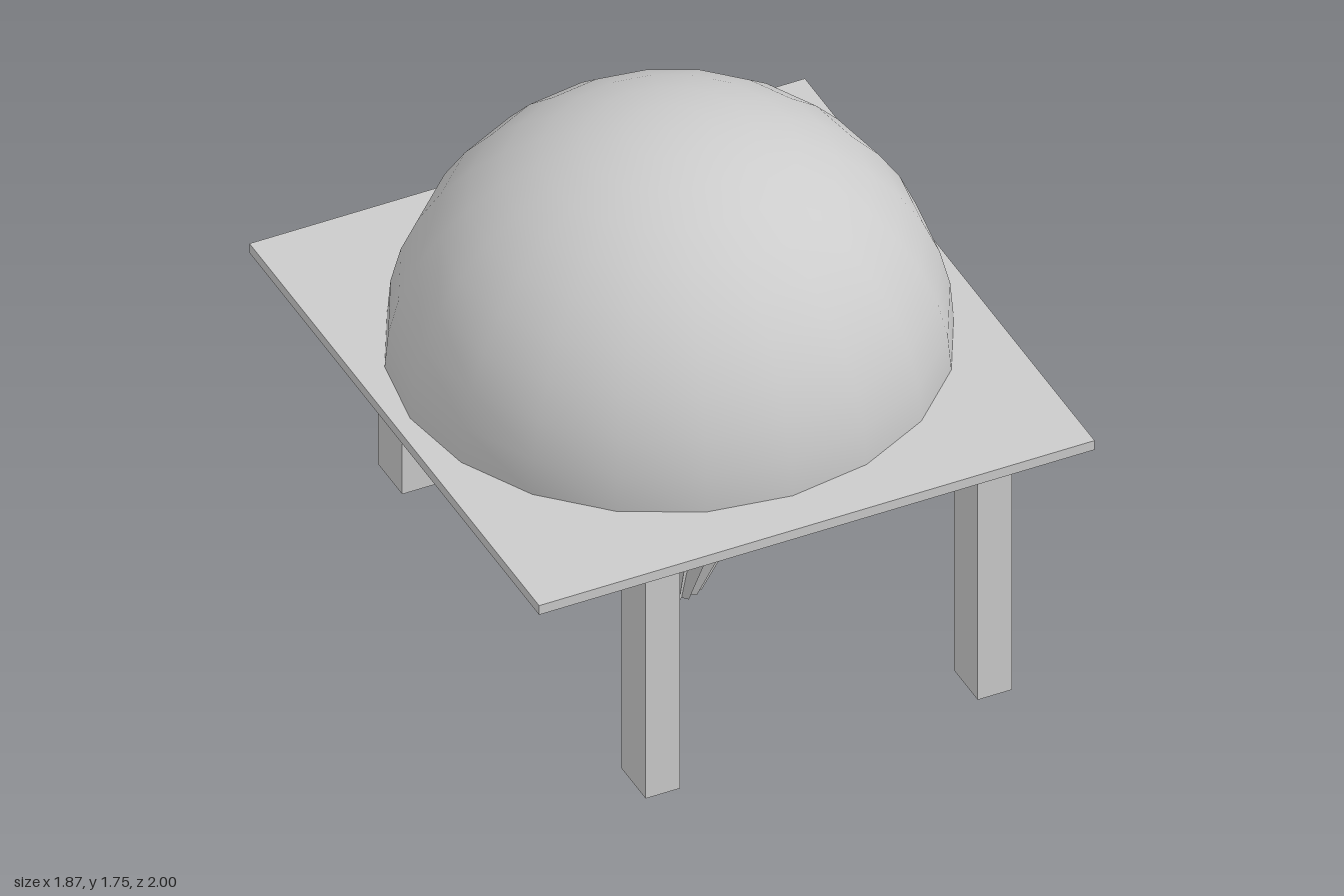
import * as THREE from 'three';

const grey = (opts = {}) => new THREE.MeshStandardMaterial({ color: 0xcccccc, ...opts });

function add(parent, name, geometry, material, x, y, z) {
  const mesh = new THREE.Mesh(geometry, material);
  mesh.name = name;
  mesh.position.set(x, y, z);
  parent.add(mesh);
  return mesh;
}

// Pleated, slightly twisted cone made from star-shaped rings
function pleatedCone(rings, pleats, valley) {
  const n = pleats * 2;
  const pos = [], index = [];
  for (const [y, r, twist] of rings) {
    for (let i = 0; i < n; i++) {
      const a = (i / n) * Math.PI * 2 + twist;
      const k = i % 2 ? r * valley : r;
      pos.push(k * Math.cos(a), y, k * Math.sin(a));
    }
  }
  for (let j = 0; j < rings.length - 1; j++) {
    for (let i = 0; i < n; i++) {
      const a = j * n + i, b = j * n + (i + 1) % n;
      index.push(a, a + n, b, b, a + n, b + n);
    }
  }
  // End caps
  const bottom = pos.length / 3, top = bottom + 1, last = (rings.length - 1) * n;
  pos.push(0, rings[0][0], 0, 0, rings[rings.length - 1][0], 0);
  for (let i = 0; i < n; i++) {
    const k = (i + 1) % n;
    index.push(bottom, i, k, top, last + k, last + i);
  }
  const g = new THREE.BufferGeometry();
  g.setAttribute('position', new THREE.Float32BufferAttribute(pos, 3));
  g.setIndex(index);
  g.computeVertexNormals();
  return g;
}

export function createModel() {
  const model = new THREE.Group();
  model.name = 'domedTable';

  // Table top
  add(model, 'plate', new THREE.BoxGeometry(1.87, 0.035, 2), grey(), 0, 0.918, 0);

  // Dome: half sphere, slightly stretched
  const dome = new THREE.SphereGeometry(1, 20, 10, 0, Math.PI * 2, 0, Math.PI / 2);
  dome.scale(0.872, 0.81, 0.853);
  add(model, 'dome', dome, grey({ side: THREE.DoubleSide }), -0.006, 0.935, -0.007);

  // Four square legs
  for (const x of [-0.485, 0.633]) {
    for (const z of [0.848, -0.833]) {
      add(model, 'leg', new THREE.BoxGeometry(0.115, 0.882, 0.165), grey(), x, 0.46, z);
    }
  }

  // Shaft, oval in section
  const shaft = new THREE.CylinderGeometry(0.062, 0.062, 0.43, 32);
  shaft.scale(1, 1, 0.785);
  add(model, 'shaft', shaft, grey(), 0.007, 0.695, 0.011);

  // Pleated cone hanging from the shaft
  const cone = pleatedCone([[0, 0.085, 0.24], [0.245, 0.208, 0.2], [0.485, 0.33, 0]], 16, 0.72);
  cone.scale(1, 1, 0.79);
  add(model, 'pleatedCone', cone, grey({ flatShading: true }), 0.006, 0, 0.011);

  return model;
}
